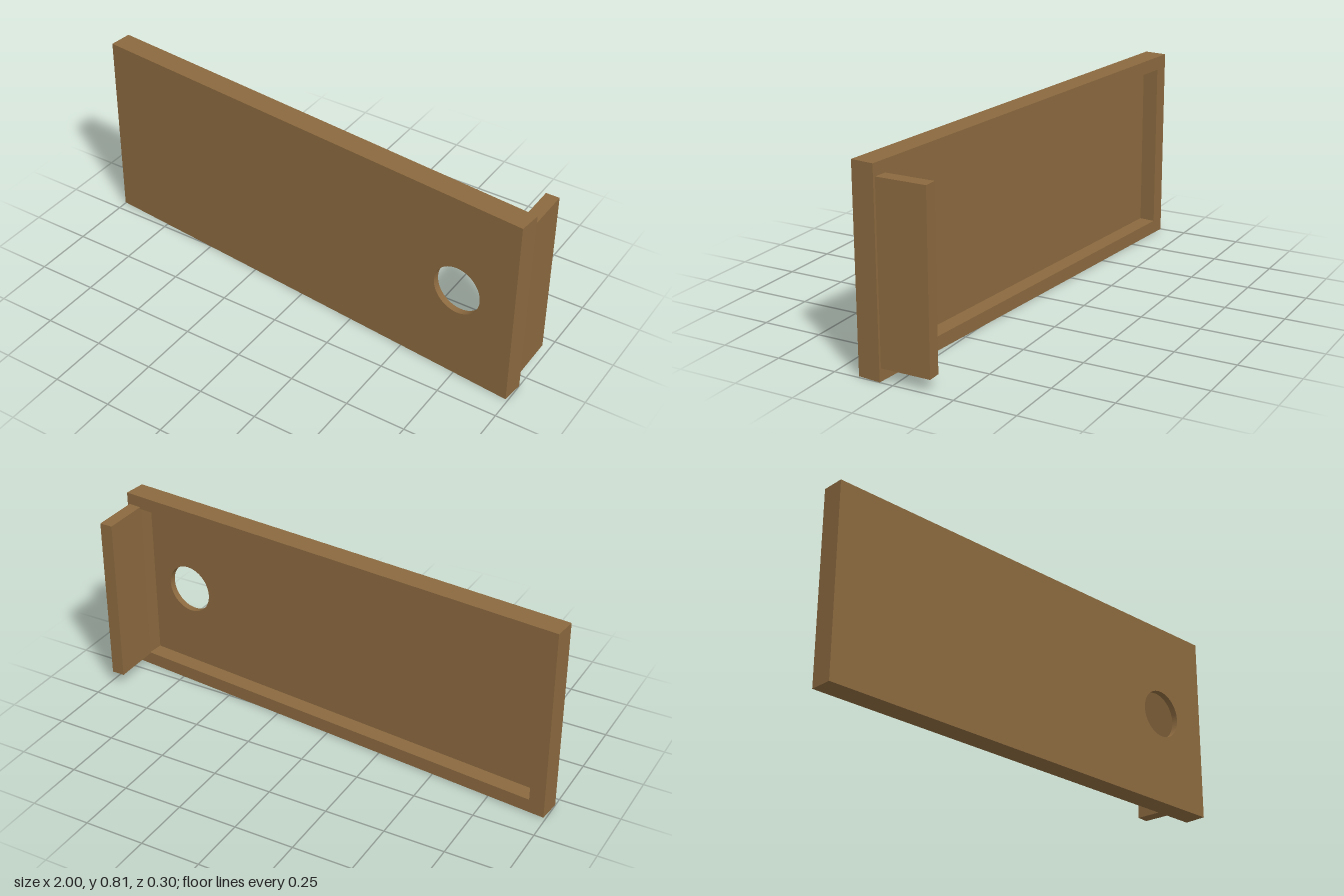
import * as THREE from 'three';

const LENGTH = 2.0, HEIGHT = 0.81, THICK = 0.095, FACE = 0.027;
const RIM_END = 0.065, RIM_EDGE = 0.057;

// Centred rectangle outline, usable as a shape or as a hole
function rect(target, w, h) {
  target.moveTo(-w / 2, -h / 2);
  target.lineTo(w / 2, -h / 2);
  target.lineTo(w / 2, h / 2);
  target.lineTo(-w / 2, h / 2);
  target.closePath();
  return target;
}

function extrude(shape, depth) {
  return new THREE.ExtrudeGeometry(shape, { depth, bevelEnabled: false, curveSegments: 40 });
}

export function createModel() {
  const model = new THREE.Group();
  model.name = 'hollowPanel';
  const wood = new THREE.MeshStandardMaterial({ color: 0x8b693f });
  wood.name = 'brown wood';

  const add = (parent, name, geometry) => {
    const mesh = new THREE.Mesh(geometry, wood);
    mesh.name = name;
    parent.add(mesh);
    return mesh;
  };

  // Panel, turned slightly about the vertical
  const panel = new THREE.Group();
  panel.name = 'panel';
  panel.position.set(0, 0.4065, 0.006);
  panel.rotation.set(0, -0.097, -0.0015);
  model.add(panel);

  // Thin front plate with a round hole
  const plate = rect(new THREE.Shape(), LENGTH, HEIGHT);
  const hole = new THREE.Path();
  hole.absarc(0.748, -0.003, 0.103, 0, Math.PI * 2, true);
  plate.holes.push(hole);
  add(panel, 'frontPlate', extrude(plate, FACE)).position.z = THICK / 2 - FACE;

  // Raised rim around the hollow back
  const rim = rect(new THREE.Shape(), LENGTH, HEIGHT);
  rim.holes.push(rect(new THREE.Path(), LENGTH - 2 * RIM_END, HEIGHT - 2 * RIM_EDGE));
  add(panel, 'backRim', extrude(rim, THICK - FACE)).position.z = -THICK / 2;

  // Upright flange standing on the rim at the left end
  const flange = add(model, 'flange', new THREE.BoxGeometry(0.055, 0.71, 0.206));
  flange.position.set(0.9625, 0.406, -0.047);

  return model;
}
